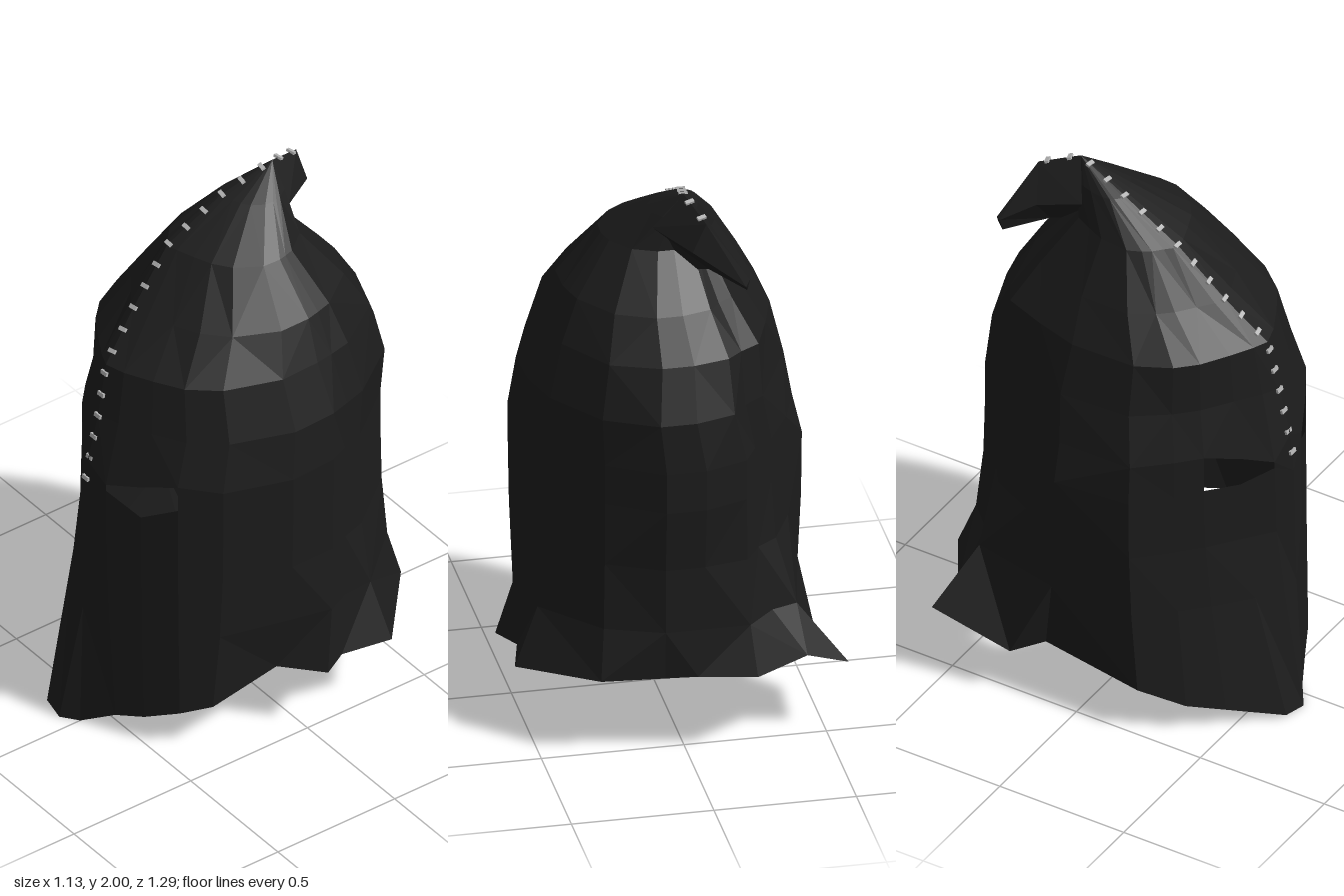
import * as THREE from 'three';

const cloth = new THREE.MeshStandardMaterial({ color: 0x1c1c1c, side: THREE.DoubleSide, flatShading: true });
cloth.name = 'blackCloth';
const thread = new THREE.MeshStandardMaterial({ color: 0xb4b4b4 });
thread.name = 'paleThread';

// Cross-section of the hood: x, z from the front, round by the left side
const SECTION = [
  [-0.01, 0.575], [0.08, 0.55], [0.2, 0.49], [0.32, 0.42], [0.42, 0.3],
  [0.5, 0.06], [0.49, -0.12], [0.48, -0.2], [0.46, -0.3], [0.3, -0.53], [0.08, -0.6],
  [-0.06, -0.6], [-0.22, -0.57], [-0.29, -0.52], [-0.38, -0.47], [-0.45, -0.28], [-0.5, -0.09],
  [-0.49, 0.2], [-0.41, 0.35], [-0.32, 0.43], [-0.19, 0.5], [-0.08, 0.55],
];
// Hollows below the crown: scale by column
const PINCH = {
  7: 0.96, 8: 0.93, 9: 0.91, 12: 0.96, 13: 0.89, 14: 0.86, 15: 0.91,
  17: 0.97, 18: 0.88, 19: 0.885, 20: 0.92, 21: 0.98,
};
// Ragged hem: x, y, z for the same columns
const HEM = [
  [0, 0, 0.6], [0.12, 0.07, 0.54], [0.22, 0.1, 0.49], [0.33, 0.15, 0.42], [0.4, 0.18, 0.33],
  [0.43, 0.26, 0.08], [0.565, 0.26, -0.04], [0.51, 0.26, -0.14], [0.555, 0.27, -0.32],
  [0.3, 0.3, -0.55], [0.08, 0.3, -0.57], [-0.03, 0.31, -0.6], [-0.23, 0.31, -0.645],
  [-0.43, 0.31, -0.52], [-0.57, 0.28, -0.54], [-0.53, 0.18, -0.25], [-0.44, 0.2, -0.16],
  [-0.49, 0.18, 0.24], [-0.4, 0.11, 0.38], [-0.3, 0.07, 0.48], [-0.15, 0.01, 0.63], [-0.06, 0, 0.645],
];
// Crown rings: y, right x, left x, front z, back z, seam x, hollow strength
const CROWN = [
  [1.28, -0.43, 0.48, 0.515, -0.585, -0.01, 0.6],
  [1.47, -0.385, 0.415, 0.475, -0.52, -0.02, 0.15],
  [1.62, -0.3, 0.355, 0.33, -0.43, -0.06, 0.5],
  [1.8, -0.19, 0.215, 0.16, -0.28, -0.09, 0.5],
  [1.92, -0.115, 0.06, -0.06, -0.27, -0.08, 0],
];
const APEX = [-0.05, 2, -0.26];
// Eye opening heights by column: lower edge, upper edge
const EYES = {
  1: [1.02, 1.045], 2: [0.95, 1.08], 3: [1.02, 1.12],
  19: [0.96, 1.1], 20: [0.95, 1.06], 21: [0.99, 1.015],
};
const EYE_ROW = 3;
const EYE_CELLS = [1, 2, 19, 20];

const mix = (a, b, t) => a + (b - a) * t;
const hollow = (amount) => SECTION.map(([x, z], j) => {
  const k = mix(1, PINCH[j] ?? 1, amount);
  return [x * k, z * k];
});

function buildRows() {
  const rows = [HEM];
  // Skirt easing from the flared hem into the body
  for (const [y, t] of [[0.48, 0.33], [0.72, 0.06]]) {
    rows.push(hollow(1).map(([x, z], j) => [mix(x, HEM[j][0], t), y, Math.max(mix(z, HEM[j][2], t), -0.58)]));
  }
  // Two rings bounding the eyes
  rows.push(hollow(1).map(([x, z], j) => [x, EYES[j]?.[0] ?? 0.95, z]));
  rows.push(hollow(1).map(([x, z], j) => [Math.max(x, -0.465), EYES[j]?.[1] ?? 1.1, Math.min(z, 0.56)]));
  // Crown, with the front ridge pulled towards the seam
  for (const [y, xr, xl, zf, zb, seam, amount] of CROWN) {
    rows.push(hollow(amount).map(([x, z]) => {
      const w = (z + 0.6) / 1.175;
      return [mix(xr, xl, x + 0.5) + (seam - mix(xr, xl, 0.49)) * w ** 4, y, mix(zb, zf, w)];
    }));
  }
  rows.push(SECTION.map(() => APEX));
  return rows;
}

// Skin a stack of closed rings, leaving out the cells that skip() picks
function loft(rows, skip = () => false) {
  const n = rows[0].length;
  const pos = [];
  for (let i = 0; i < rows.length - 1; i++) {
    for (let j = 0; j < n; j++) {
      if (skip(i, j)) continue;
      const k = (j + 1) % n;
      const a = rows[i][j], b = rows[i][k], c = rows[i + 1][k], d = rows[i + 1][j];
      if ((i + j) % 2) pos.push(...a, ...b, ...c, ...a, ...c, ...d);
      else pos.push(...a, ...b, ...d, ...b, ...c, ...d);
    }
  }
  const g = new THREE.BufferGeometry();
  g.setAttribute('position', new THREE.Float32BufferAttribute(pos, 3));
  g.computeVertexNormals();
  return g;
}

export function createModel() {
  const group = new THREE.Group();
  group.name = 'clothHood';
  const rows = buildRows();

  const hood = new THREE.Mesh(loft(rows, (i, j) => i === EYE_ROW && EYE_CELLS.includes(j)), cloth);
  hood.name = 'hood';
  group.add(hood);

  // Drooping point at the back of the crown
  const tip = new THREE.Mesh(loft([
    [[-0.05, 2, -0.26], [0.06, 1.88, -0.25], [-0.04, 1.72, -0.28], [-0.14, 1.87, -0.2]],
    [[-0.1, 1.95, -0.4], [-0.05, 1.85, -0.41], [-0.12, 1.745, -0.34], [-0.18, 1.83, -0.36]],
    [[-0.235, 1.765, -0.485], [-0.22, 1.74, -0.49], [-0.23, 1.715, -0.465], [-0.24, 1.76, -0.47]],
    [[-0.23, 1.74, -0.48], [-0.23, 1.74, -0.48], [-0.23, 1.74, -0.48], [-0.23, 1.74, -0.48]],
  ]), cloth);
  tip.name = 'droopingTip';
  group.add(tip);

  // Stitches along the front seam, from between the eyes to the tip
  const seam = new THREE.CurvePath();
  const points = [...rows.slice(EYE_ROW + 1).map((r) => r[0]), [-0.1, 1.95, -0.4]]
    .map((p) => new THREE.Vector3(...p));
  points[0].set(-0.01, 1.03, 0.568);
  for (let i = 1; i < points.length; i++) seam.add(new THREE.LineCurve3(points[i - 1], points[i]));
  const stitches = new THREE.Group();
  stitches.name = 'seamStitches';
  const stitchShape = new THREE.BoxGeometry(0.032, 0.015, 0.009);
  const count = 19;
  for (let i = 0; i < count; i++) {
    const t = i / (count - 0.6);
    const along = seam.getTangentAt(t);
    const side = new THREE.Vector3(1, 0, 0).addScaledVector(along, -along.x).normalize();
    const out = side.clone().cross(along);
    const stitch = new THREE.Mesh(stitchShape, thread);
    stitch.name = 'stitch';
    stitch.quaternion.setFromRotationMatrix(new THREE.Matrix4().makeBasis(side, along, out));
    stitch.position.copy(seam.getPointAt(t)).addScaledVector(out, 0.001);
    stitches.add(stitch);
  }
  group.add(stitches);
  return group;
}
